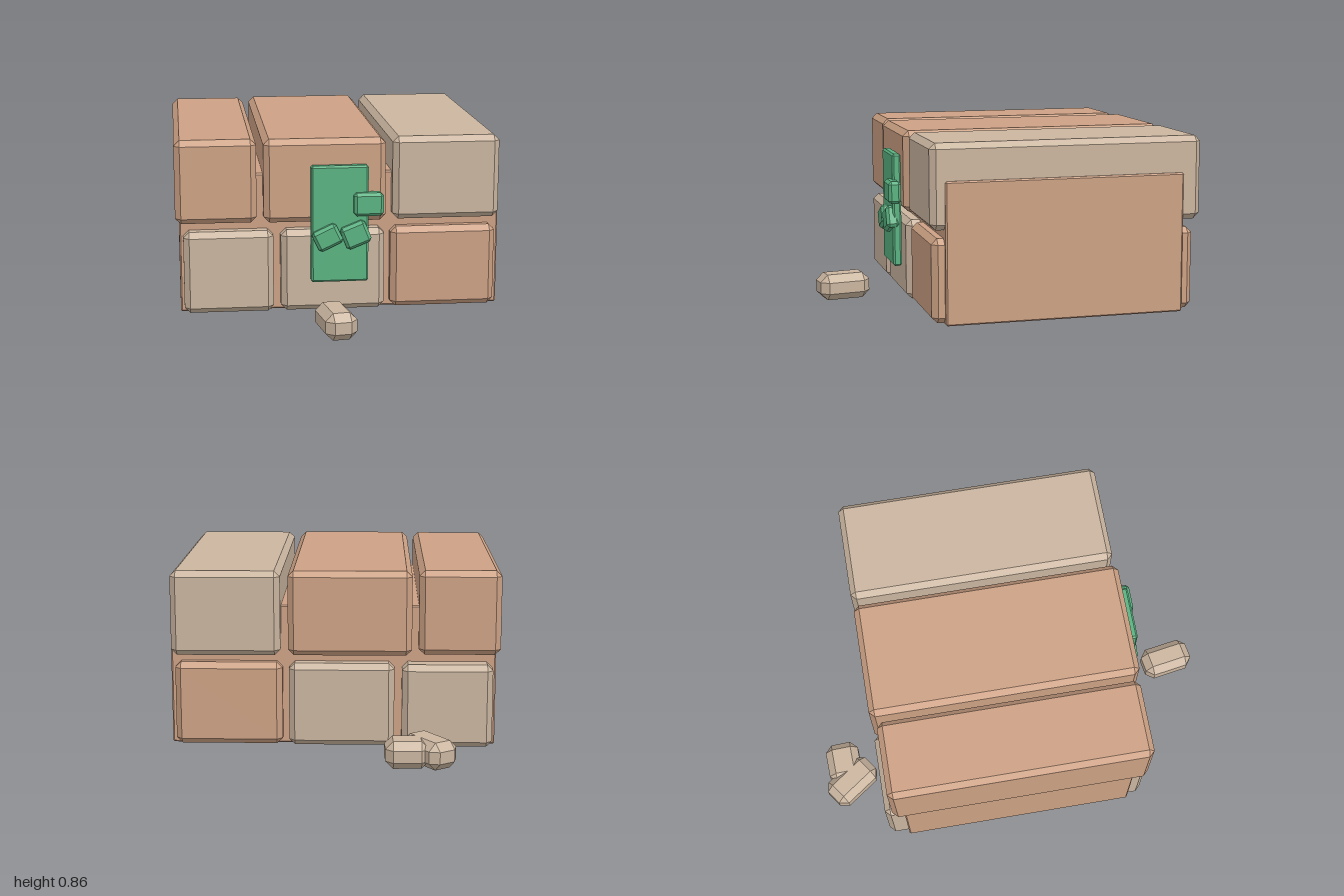
import * as THREE from 'three';
import { ConvexGeometry } from 'three/addons/geometries/ConvexGeometry.js';

const material = (name, color) => {
  const m = new THREE.MeshStandardMaterial({ color });
  m.name = name;
  return m;
};

// Box with flat bevels of width c on every edge
function bevelBox(w, h, d, c) {
  const points = [];
  for (const sx of [-1, 1]) for (const sy of [-1, 1]) for (const sz of [-1, 1]) {
    const [x, y, z] = [w / 2, h / 2, d / 2];
    points.push(
      new THREE.Vector3(sx * x, sy * (y - c), sz * (z - c)),
      new THREE.Vector3(sx * (x - c), sy * y, sz * (z - c)),
      new THREE.Vector3(sx * (x - c), sy * (y - c), sz * z));
  }
  return new ConvexGeometry(points);
}

export function createModel() {
  const model = new THREE.Group();
  model.name = 'brickWall';
  const clay = material('clay', 0xcca184);
  const stone = material('stone', 0xcab59f);
  const green = material('green', 0x5ab281);

  function add(name, mat, size, bevel, position) {
    const mesh = new THREE.Mesh(bevelBox(...size, bevel), mat);
    mesh.name = name;
    mesh.position.set(...position);
    model.add(mesh);
    return mesh;
  }
  // Block given by its extents along each axis
  function block(name, mat, bevel, [x0, x1], [y0, y1], [z0, z1]) {
    return add(name, mat, [x1 - x0, y1 - y0, z1 - z0], bevel,
      [(x0 + x1) / 2, (y0 + y1) / 2, (z0 + z1) / 2]);
  }

  // Mortar core behind the bricks
  block('core', clay, 0.007, [-0.755, 0.768], [0.02, 0.685], [-0.625, 0.52]);

  // Upper and lower brick rows
  const upper = [0.46, 0.857], lower = [0.027, 0.42];
  block('upperBrickRight', clay, 0.027, [-0.773, -0.392], upper, [-0.682, 0.588]);
  block('upperBrickMiddle', clay, 0.027, [-0.36, 0.215], upper, [-0.71, 0.6]);
  block('upperBrickLeft', stone, 0.027, [0.25, 0.758], upper, [-0.715, 0.587]);
  block('lowerBrickRight', stone, 0.027, [-0.737, -0.315], lower, [-0.72, 0.592]);
  block('lowerBrickMiddle', stone, 0.027, [-0.28, 0.212], lower, [-0.7, 0.59]);
  block('lowerBrickLeft', clay, 0.027, [0.243, 0.745], lower, [-0.685, 0.578]);

  // Moss panel with three small leaves
  block('mossPanel', green, 0.009, [-0.143, 0.127], [0.18, 0.737], [0.598, 0.641]);
  for (const [x, y, w, h, turn] of [
    [0.125, 0.555, 0.14, 0.11, 0],
    [-0.068, 0.4, 0.125, 0.1, 0.44],
    [0.065, 0.41, 0.125, 0.11, 0.38],
  ]) {
    add('mossLeaf', green, [w, h, 0.062], 0.014, [x, y, 0.641]).rotation.z = turn;
  }

  // Loose rubble on the ground
  for (const [name, x, z, w, d, turn] of [
    ['frontRubble', -0.052, 0.868, 0.15, 0.252, 0.16],
    ['backRubbleLarge', -0.44, -0.877, 0.155, 0.262, 0.62],
    ['backRubbleSmall', -0.335, -0.907, 0.2, 0.168, 0.04],
  ]) {
    add(name, stone, [w, 0.128, d], 0.036, [x, 0.064, z]).rotation.y = turn;
  }
  return model;
}
